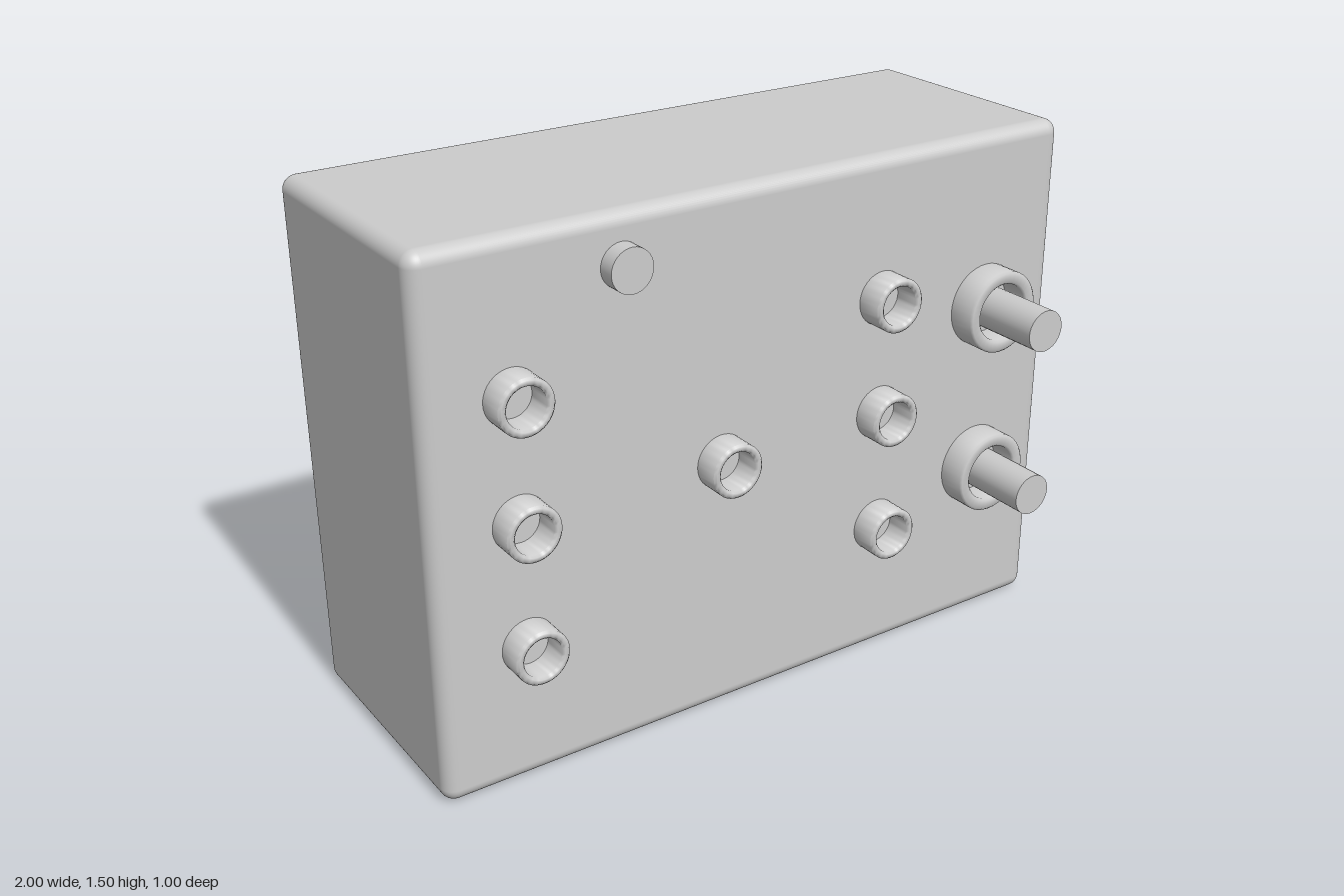
import * as THREE from 'three';
import { RoundedBoxGeometry } from 'three/addons/geometries/RoundedBoxGeometry.js';
import { toCreasedNormals } from 'three/addons/utils/BufferGeometryUtils.js';

const FACE = 0.25; // z of the front panel
const grey = new THREE.MeshStandardMaterial({ color: 0xcccccc });

function add(parent, name, geometry, x, y, z) {
  const mesh = new THREE.Mesh(geometry, grey);
  mesh.name = name;
  mesh.position.set(x, y, z);
  parent.add(mesh);
}

// Hollow collar along +z with a softened lip, rooted just inside the panel
function collarGeometry(outer, inner, height) {
  const b = 0.006;
  const profile = [
    [outer, -0.01], [outer, height - b], [outer - b, height],
    [inner + b, height], [inner, height - b], [inner, -0.01],
  ].map(([r, h]) => new THREE.Vector2(r, h));
  const geometry = new THREE.LatheGeometry(profile, 40).rotateX(Math.PI / 2);
  return toCreasedNormals(geometry, 0.9);
}

// Solid round peg along +z, from the panel outwards
function pegGeometry(radius, length) {
  return new THREE.CylinderGeometry(radius, radius, length + 0.01, 32)
    .rotateX(Math.PI / 2).translate(0, 0, (length - 0.01) / 2);
}

export function createModel() {
  const model = new THREE.Group();
  model.name = 'controlBox';

  // Enclosure with rounded edges
  add(model, 'enclosure', new RoundedBoxGeometry(2, 1.5, 0.75, 6, 0.04), 0, 0.75, -0.125);

  // Small open sockets
  const socket = collarGeometry(0.077, 0.055, 0.08);
  const sockets = [
    [-0.755, 1.096], [-0.75, 0.756], [-0.743, 0.402], [-0.148, 0.757],
    [0.377, 1.102], [0.381, 0.762], [0.387, 0.406],
  ];
  for (const [x, y] of sockets) add(model, 'socket', socket, x, y, FACE);

  // Large connectors: collar around a protruding pin
  const collar = collarGeometry(0.12, 0.083, 0.083);
  const pin = pegGeometry(0.06, 0.25);
  for (const y of [1.002, 0.5]) {
    const connector = new THREE.Group();
    connector.name = 'connector';
    connector.position.set(0.752, y, FACE);
    add(connector, 'connectorCollar', collar, 0, 0, 0);
    add(connector, 'connectorPin', pin, 0, 0, 0);
    model.add(connector);
  }

  // Round button near the top edge
  add(model, 'button', pegGeometry(0.06, 0.05), -0.441, 1.364, FACE);

  return model;
}
